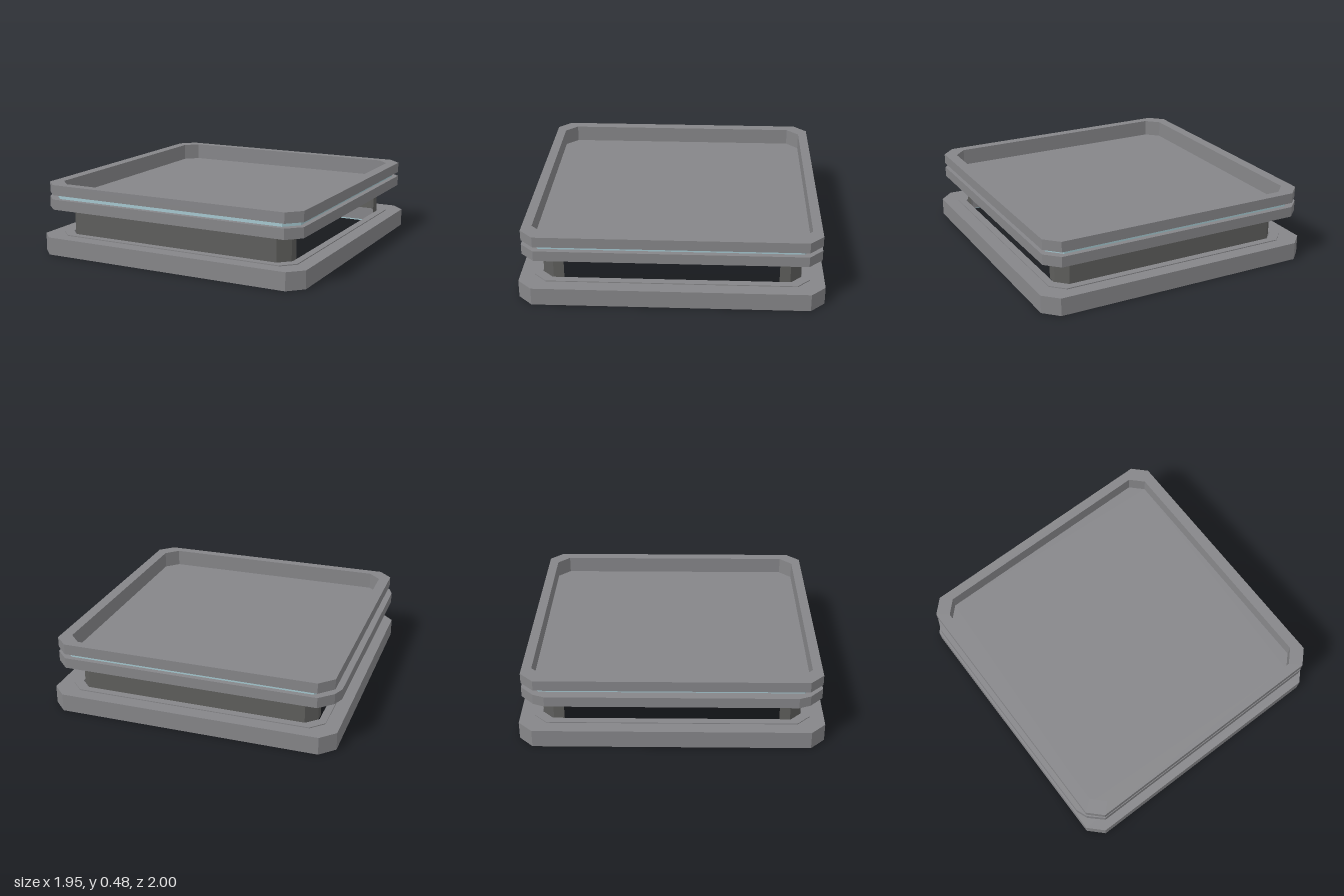
import * as THREE from 'three';

const grey = new THREE.MeshStandardMaterial({ color: 0x868689 });
grey.name = 'panelGrey';
const dark = new THREE.MeshStandardMaterial({ color: 0x5e5e5c, side: THREE.DoubleSide });
dark.name = 'wallGrey';
const glass = new THREE.MeshStandardMaterial({ color: 0xa6c8d0 });
glass.name = 'paleBlue';

// Rectangle with cut corners: half width, half depth, corner cut
function outline(w, d, c) {
  return [
    [w - c, -d], [w, -d + c], [w, d - c], [w - c, d],
    [-w + c, d], [-w, d - c], [-w, -d + c], [-w + c, -d],
  ].map(([x, z]) => new THREE.Vector2(x, z));
}

// Upright slab from y0 to y1, with an optional hole
function slab(name, material, outer, inner, y0, y1) {
  const shape = new THREE.Shape(outer);
  if (inner) shape.holes.push(new THREE.Path(inner));
  const geometry = new THREE.ExtrudeGeometry(shape, { depth: y1 - y0, bevelEnabled: false });
  geometry.rotateX(-Math.PI / 2).translate(0, y0, 0);
  const mesh = new THREE.Mesh(geometry, material);
  mesh.name = name;
  return mesh;
}

// Thin upright wall with folded ends, along the front (side 1) or back (side -1)
function foldedWall(name, side, y0, y1) {
  const path = [[-0.82, 0.705], [-0.82, 0.775], [-0.75, 0.85], [0.75, 0.85], [0.82, 0.775], [0.82, 0.705]];
  const positions = [];
  for (let i = 0; i < path.length - 1; i++) {
    const [ax, az] = path[i], [bx, bz] = path[i + 1];
    const a0 = [ax, y0, az * side], a1 = [ax, y1, az * side];
    const b0 = [bx, y0, bz * side], b1 = [bx, y1, bz * side];
    const corners = side > 0 ? [a0, b0, b1, a0, b1, a1] : [a0, b1, b0, a0, a1, b1];
    positions.push(...corners.flat());
  }
  const geometry = new THREE.BufferGeometry();
  geometry.setAttribute('position', new THREE.Float32BufferAttribute(positions, 3));
  geometry.computeVertexNormals();
  const mesh = new THREE.Mesh(geometry, dark);
  mesh.name = name;
  return mesh;
}

export function createModel() {
  const model = new THREE.Group();
  model.name = 'framedTray';

  // Base frame with a raised inner lip and a pale strip underneath
  model.add(slab('baseFrame', grey, outline(0.975, 1, 0.095), outline(0.88, 0.905, 0.085), 0, 0.12));
  model.add(slab('baseLip', grey, outline(0.88, 0.905, 0.085), outline(0.83, 0.855, 0.075), 0.02, 0.126));
  model.add(slab('baseStrip', glass, outline(0.88, 0.905, 0.085), outline(0.855, 0.88, 0.08), 0.005, 0.02));

  // Front and back supports
  model.add(foldedWall('frontWall', 1, 0.115, 0.315));
  model.add(foldedWall('backWall', -1, 0.115, 0.315));

  // Lower frame, slightly wider on the model's right, and the tray floor inside it
  const lower = outline(0.945, 0.97, 0.09);
  lower.splice(5, 2,
    new THREE.Vector2(-0.945, 0.885), new THREE.Vector2(-0.975, 0.81),
    new THREE.Vector2(-0.975, -0.81), new THREE.Vector2(-0.945, -0.885));
  const inner = outline(0.87, 0.905, 0.083);
  model.add(slab('lowerFrame', grey, lower, inner, 0.31, 0.38));
  model.add(slab('trayFloor', grey, inner, null, 0.31, 0.365));

  // Pale band around the gap, with a grey liner facing the tray
  const liner = outline(0.885, 0.915, 0.085);
  model.add(slab('paleBand', glass, outline(0.91, 0.935, 0.087), liner, 0.38, 0.41));
  model.add(slab('trayLiner', grey, liner, inner, 0.38, 0.41));

  // Upper rim
  model.add(slab('upperRim', grey, outline(0.945, 0.97, 0.09), inner, 0.41, 0.48));

  return model;
}
